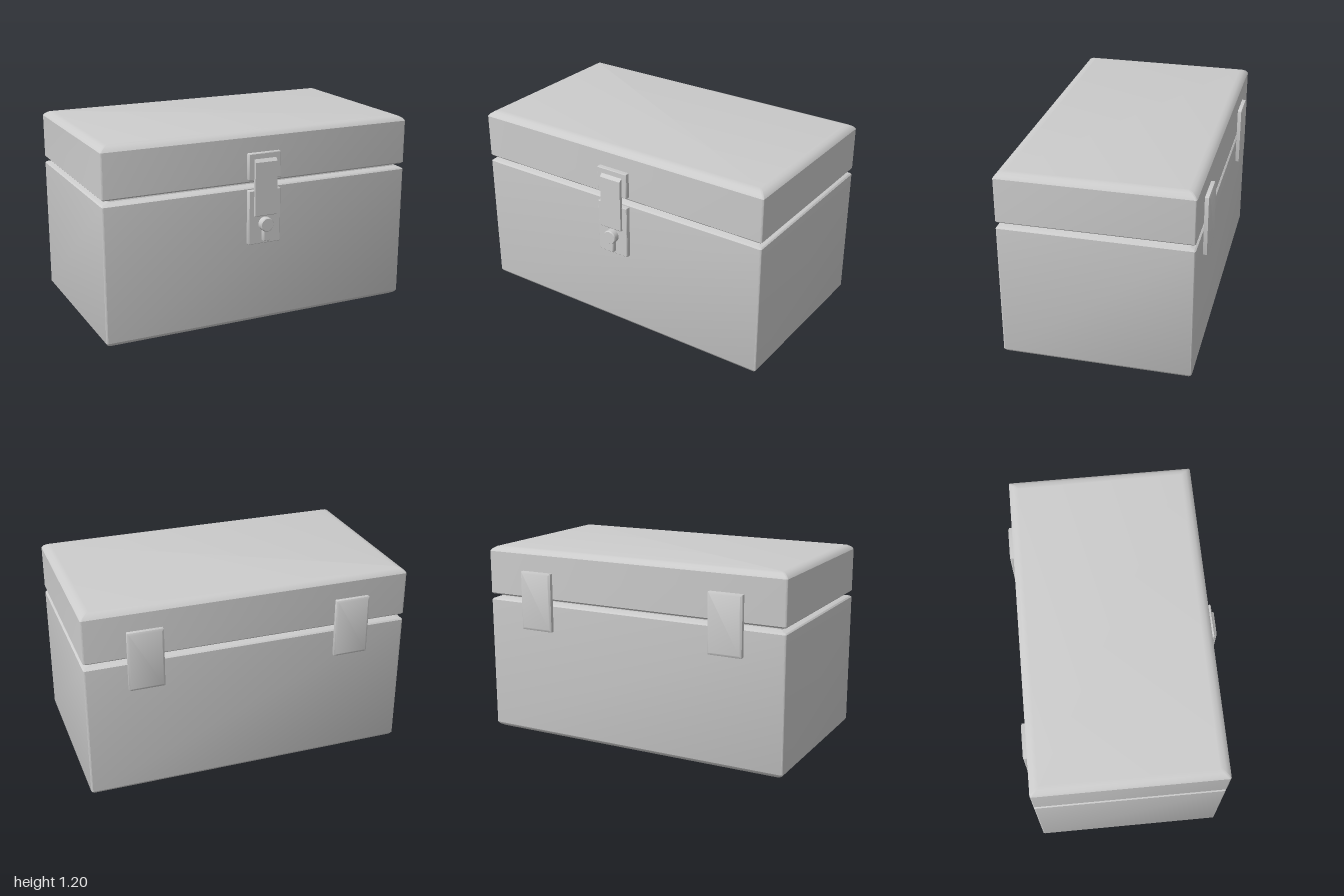
import * as THREE from 'three';
import { toCreasedNormals } from 'three/addons/utils/BufferGeometryUtils.js';

const material = new THREE.MeshStandardMaterial({ color: 0xcccccc });

// Closed loft of a rounded rectangle (w by d) along y; profile = [inset, height] pairs, bottom to top.
function loft(w, d, radius, profile) {
  const steps = 3, pos = [], index = [];
  const n = 4 * (steps + 1);
  for (const [inset, y] of profile) {
    for (let c = 0; c < 4; c++) {
      const sx = c === 0 || c === 3 ? 1 : -1, sz = c < 2 ? 1 : -1;
      for (let s = 0; s <= steps; s++) {
        const a = (c + s / steps) * Math.PI / 2;
        pos.push(sx * (w / 2 - inset - radius) + radius * Math.cos(a), y,
          sz * (d / 2 - inset - radius) + radius * Math.sin(a));
      }
    }
  }
  for (let r = 0; r < profile.length - 1; r++) {
    for (let i = 0; i < n; i++) {
      const a = r * n + i, b = r * n + (i + 1) % n;
      index.push(a, a + n, b, b, a + n, b + n);
    }
  }
  // end caps
  const top = (profile.length - 1) * n;
  for (let i = 1; i < n - 1; i++) index.push(0, i, i + 1, top, top + i + 1, top + i);
  const g = new THREE.BufferGeometry();
  g.setAttribute('position', new THREE.Float32BufferAttribute(pos, 3));
  g.setIndex(index);
  return toCreasedNormals(g.toNonIndexed(), 0.6);
}

// Flat plate with softened front edges, facing +z from its local z = 0
function plate(w, h, depth, bevel, bevelDepth = bevel) {
  const g = loft(w, h, 0.003, [[0, 0], [0, depth - bevelDepth], [bevel, depth]]);
  return g.rotateX(Math.PI / 2);
}

function add(parent, name, geometry, x = 0, y = 0, z = 0) {
  const mesh = new THREE.Mesh(geometry, material);
  mesh.name = name;
  mesh.position.set(x, y, z);
  parent.add(mesh);
  return mesh;
}

export function createModel() {
  const model = new THREE.Group();
  model.name = 'latchedBox';
  const W = 2, D = 1.14, zMid = -0.02, front = 0.55, back = -0.59;

  // Lower box with rounded base and recessed neck
  add(model, 'body', loft(W, D, 0.01, [
    [0.055, 0], [0.03, 0.005], [0.01, 0.018], [0, 0.033],
    [0, 0.852], [0.008, 0.86], [0.028, 0.862], [0.044, 0.87], [0.046, 0.876],
  ]), 0, 0, zMid);

  // Lid with rounded top edges
  add(model, 'lid', loft(W, D, 0.01, [
    [0.046, 0.876], [0.044, 0.88], [0.028, 0.887], [0.008, 0.889], [0, 0.897],
    [0, 1.163], [0.01, 1.177], [0.03, 1.19], [0.055, 1.195],
  ]), 0, 0, zMid);

  // Front latch
  const latch = new THREE.Group();
  latch.name = 'latch';
  model.add(latch);
  add(latch, 'upperPlate', plate(0.21, 0.16, 0.028, 0.004), 0, 0.99, front);
  add(latch, 'lowerPlate', plate(0.21, 0.332, 0.03, 0.004), 0, 0.68, front);

  // Hasp strap, its top end sloped back
  const side = new THREE.Shape();
  side.moveTo(0.576, 0.69);
  side.lineTo(0.594, 0.69);
  side.lineTo(0.597, 0.694);
  side.lineTo(0.597, 1.018);
  side.lineTo(0.578, 1.036);
  side.lineTo(0.576, 1.036);
  const hasp = new THREE.ExtrudeGeometry(side, { depth: 0.144, bevelEnabled: false });
  hasp.translate(0, 0, -0.072).rotateY(-Math.PI / 2).scale(1, 1, 1);
  add(latch, 'hasp', hasp);

  // Turn knob with its tail
  const knob = new THREE.LatheGeometry([
    [0, 0], [0.043, 0], [0.043, 0.032], [0.038, 0.038], [0, 0.038],
  ].map(([r, y]) => new THREE.Vector2(r, y)), 24);
  knob.rotateX(Math.PI / 2);
  add(latch, 'knob', toCreasedNormals(knob, 0.6), 0, 0.637, 0.58);
  add(latch, 'knobTail', plate(0.042, 0.09, 0.029, 0.004), 0, 0.58, 0.58);

  // Pair of back hinges
  for (const s of [-1, 1]) {
    const hinge = add(model, s > 0 ? 'leftHinge' : 'rightHinge',
      plate(0.214, 0.366, 0.031, 0.012, 0.008), s * 0.64, 0.875, back);
    hinge.rotation.y = Math.PI;
  }
  return model;
}
